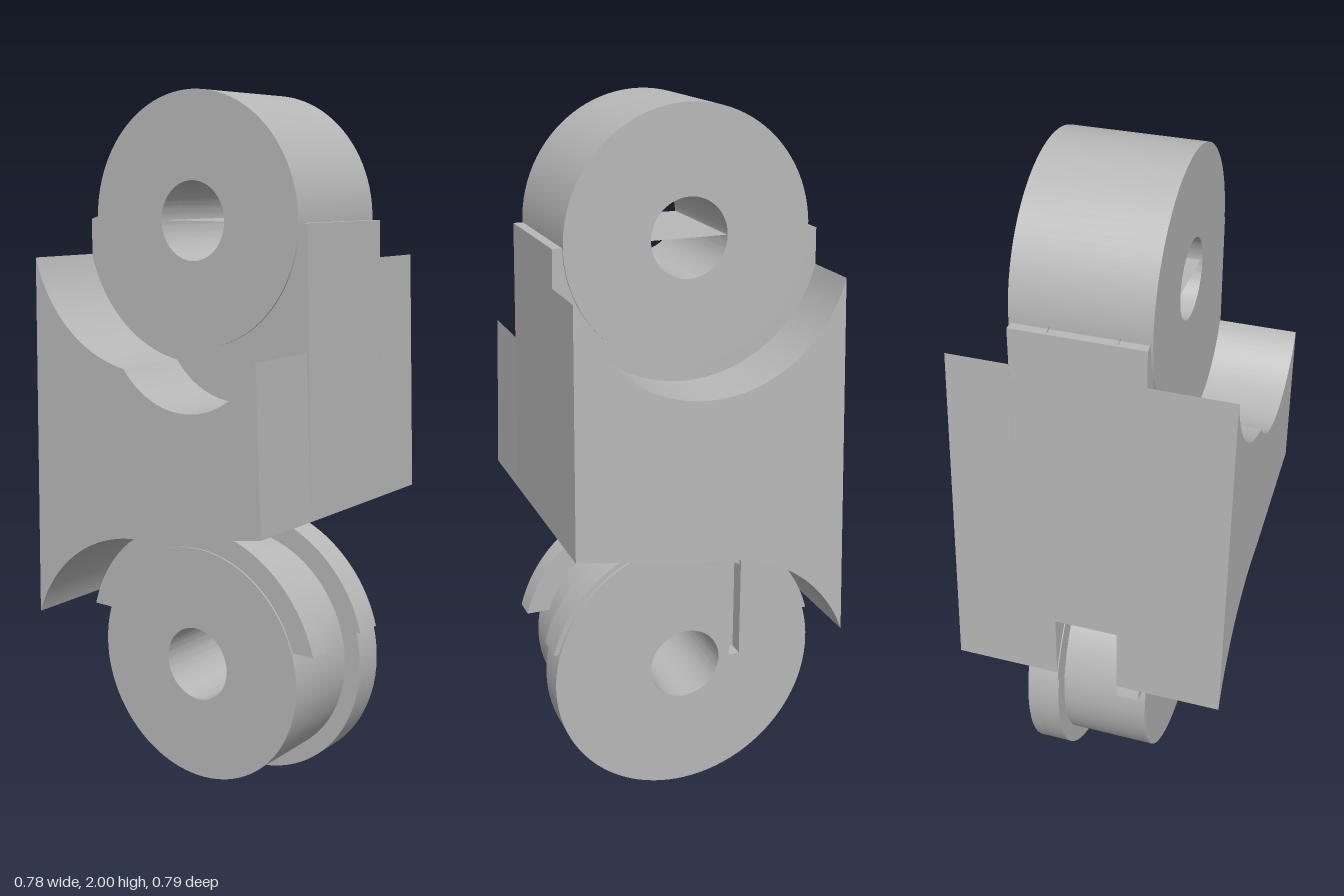
import * as THREE from 'three';
import { toCreasedNormals } from 'three/addons/utils/BufferGeometryUtils.js';

const TOP = 1.66, LOW = 0.4, HOLE = 0.107; // pivot heights and pin hole radius

export function createModel() {
  const group = new THREE.Group();
  const grey = new THREE.MeshStandardMaterial({ color: 0xb8b8b8 });
  grey.name = 'plain grey';

  // Extrudes a side profile (drawn with u = -z, v = y) from x0 to x1
  function slab(name, shape, x0, x1, rule) {
    let geo = new THREE.ExtrudeGeometry(shape, { depth: x1 - x0, bevelEnabled: false, curveSegments: 48 });
    geo.rotateY(Math.PI / 2);
    geo.translate(x0, 0, 0);
    if (rule) {
      const p = geo.attributes.position;
      for (let i = 0; i < p.count; i++) p.setX(i, rule(p.getX(i), p.getY(i)));
    }
    geo = toCreasedNormals(geo, 0.5);
    const mesh = new THREE.Mesh(geo, grey);
    mesh.name = name;
    group.add(mesh);
  }
  function pinHole(shape, y) {
    shape.holes.push(new THREE.Path().absarc(0, y, HOLE, 0, Math.PI * 2, true));
    return shape;
  }
  function disc(y, r) {
    return pinHole(new THREE.Shape().absarc(0, y, r, 0, Math.PI * 2, false), y);
  }
  // Narrow cord slot behind the lower pin hole
  function slotted(shape) {
    shape.holes.push(new THREE.Path([[0.14, 0.4], [0.14, 0.755], [0.173, 0.74], [0.173, 0.4]]
      .map(([u, v]) => new THREE.Vector2(u, v))));
    return shape;
  }
  // Body underside from front to back, either hollowed by an arc or by a straight slot
  function underside(slot) {
    const s = new THREE.Shape();
    s.moveTo(-0.388, 0.885);
    if (slot) {
      s.lineTo(-0.2, 0.854);
      s.lineTo(0.39, 0.74);
    } else {
      s.lineTo(0, 0.82);
      s.absarc(0, LOW, 0.42, Math.PI / 2, Math.acos(0.395 / 0.42), true);
    }
    return s;
  }

  // Body: outer shoulder with one hollow, tapered on its outside
  const left = underside(false);
  left.lineTo(0.372, 1.56);
  left.absarc(0, TOP, 0.385, -0.263, -Math.PI + 0.263, true);
  slab('bodyLeftShoulder', left, 0.19, 0.37, (x, y) => (x > 0.3 ? 0.36 + (1.56 - y) * 0.03 : x));

  // Body: shoulder with a second, lower hollow at the front
  const right = underside(false);
  right.lineTo(0.372, 1.56);
  right.absarc(0, TOP, 0.385, -0.263, -Math.acos(0.06 / 0.385), true);
  right.absarc(-0.14, 1.43, 0.25, -0.6435, -Math.PI + 0.407, true);
  slab('bodyRightShoulder', right, -0.39, -0.165);

  // Body: middle with the raised tab, split around the slot underneath
  for (const [x0, x1, slot] of [[-0.165, -0.09, false], [-0.09, 0.09, true], [0.09, 0.19, false]]) {
    const mid = underside(slot);
    mid.lineTo(0.369, TOP);
    mid.lineTo(-0.369, TOP);
    slab('bodyMiddle', pinHole(mid, TOP), x0, x1);
  }

  // Upper knuckle
  slab('upperKnuckle', disc(TOP, 0.342), -0.17, 0.195);

  // Lower knuckle: core and wider disc
  slab('lowerKnuckleCore', disc(LOW, 0.345), -0.16, 0.09);
  slab('lowerKnuckleDisc', disc(LOW, 0.395), 0.09, 0.14);
  slab('lowerKnuckleSlottedDisc', slotted(disc(LOW, 0.395)), 0.14, 0.185);

  // Raised rims over the upper half of the lower knuckle
  function rim() {
    const a = Math.asin(0.105 / 0.409), b = Math.asin(0.105 / 0.335);
    const s = new THREE.Shape();
    s.absarc(0, LOW, 0.409, a, Math.PI - a, false);
    s.absarc(0, LOW, 0.335, Math.PI - b, b, true);
    return s;
  }
  slab('rightRim', rim(), -0.155, -0.09);
  slab('leftRim', rim(), 0.09, 0.175);

  return group;
}
